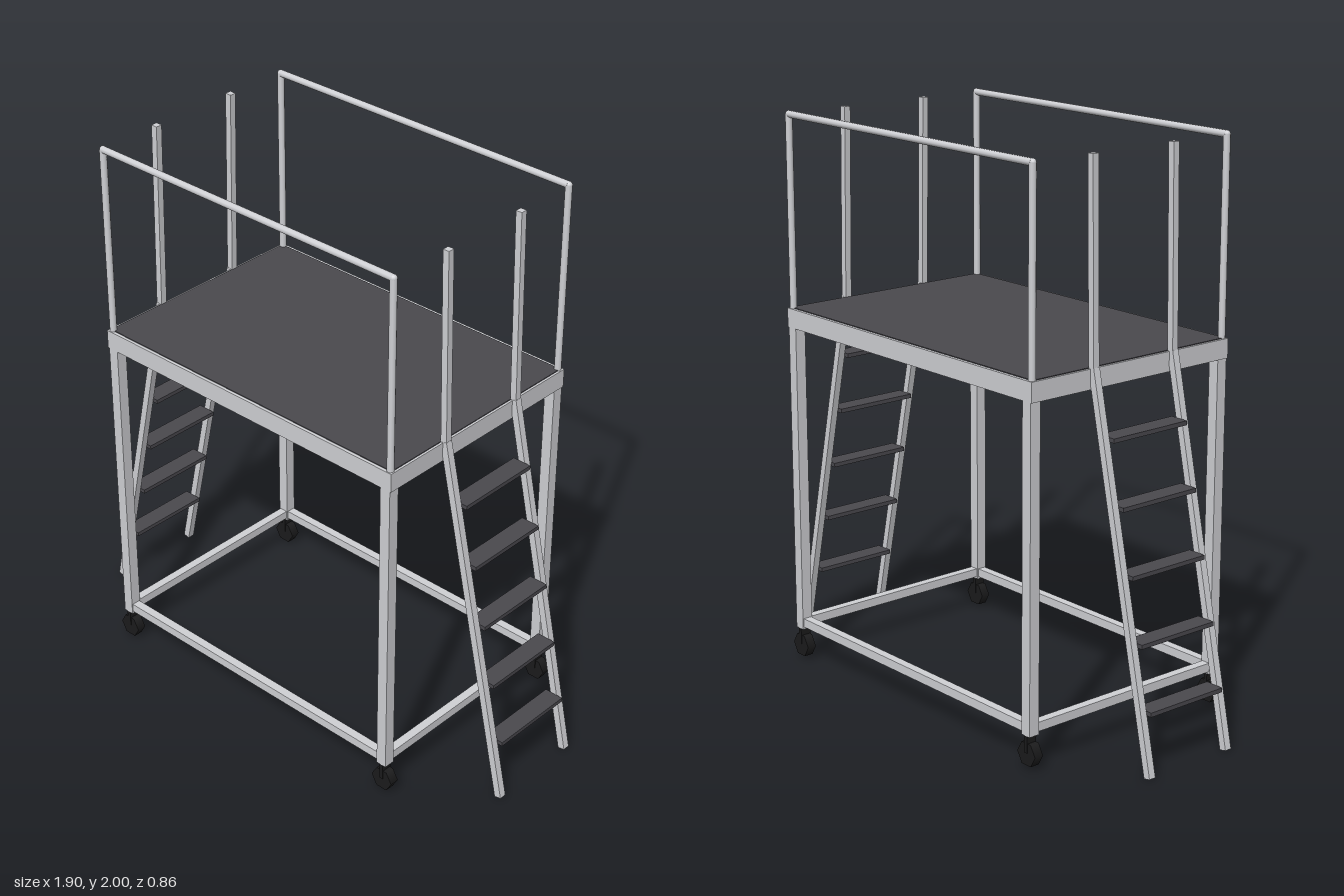
import * as THREE from 'three';

const mat = (name, color) => {
  const m = new THREE.MeshStandardMaterial({ color });
  m.name = name;
  return m;
};

export function createModel() {
  const metal = mat('light metal', 0xd0d1d5);
  const dark = mat('dark tread', 0x4a494e);
  const black = mat('black rubber', 0x1b1b1c);
  const model = new THREE.Group();
  model.name = 'rollingPlatform';

  const add = (name, geo, material, x = 0, y = 0, z = 0, parent = model) => {
    const m = new THREE.Mesh(geo, material);
    m.name = name;
    m.position.set(x, y, z);
    parent.add(m);
    return m;
  };
  const box = (name, w, h, d, material, x, y, z, parent) =>
    add(name, new THREE.BoxGeometry(w, h, d), material, x, y, z, parent);
  // Square bar between two points in the xy plane
  const bar = (name, x0, y0, x1, y1, z, t, parent) => {
    const m = box(name, t, Math.hypot(x1 - x0, y1 - y0), t, metal, (x0 + x1) / 2, (y0 + y1) / 2, z, parent);
    m.rotation.z = -Math.atan2(x1 - x0, y1 - y0);
  };

  // Deck: metal slab with a dark walking surface
  box('deckFrame', 1.3, 0.068, 0.862, metal, 0, 1.273, 0);
  box('deckSurface', 1.284, 0.004, 0.84, dark, 0, 1.308, 0);

  // Lower frame rails
  for (const s of [-1, 1]) {
    box('longBaseRail', 1.22, 0.032, 0.032, metal, 0, 0.144, s * 0.41);
    box('endBaseRail', 0.032, 0.032, 0.79, metal, s * 0.625, 0.144, 0);
  }

  // Legs and casters
  const wheel = new THREE.CylinderGeometry(0.044, 0.044, 0.034, 6);
  wheel.rotateX(Math.PI / 2).rotateZ(Math.PI / 6);
  for (const x of [-0.625, 0.625]) for (const z of [-0.41, 0.41]) {
    box('leg', 0.04, 1.122, 0.04, metal, x, 0.68, z);
    add('casterWheel', wheel, black, x, 0.054, z);
    box('casterFork', 0.014, 0.06, 0.04, black, x, 0.089, z);
  }

  // Handrails along both long sides
  const R = 0.0125;
  for (const z of [-0.416, 0.416]) {
    const rail = new THREE.Group();
    rail.name = 'handrail';
    model.add(rail);
    for (const x of [-0.634, 0.634]) {
      add('railPost', new THREE.CylinderGeometry(R, R, 0.69, 10), metal, x, 1.642, z, rail);
      add('railElbow', new THREE.SphereGeometry(R, 10, 8), metal, x, 1.987, z, rail);
    }
    const top = add('railTop', new THREE.CylinderGeometry(R, R, 1.268, 10), metal, 0, 1.987, z, rail);
    top.rotation.z = Math.PI / 2;
  }

  // A ladder at each end with grab rails bent upright
  for (const s of [-1, 1]) {
    const ladder = new THREE.Group();
    ladder.name = s > 0 ? 'leftLadder' : 'rightLadder';
    model.add(ladder);
    for (const z of [-0.173, 0.173]) {
      bar('stringer', s * 0.938, 0.004, s * 0.652, 1.31, z, 0.026, ladder);
      bar('grabRail', s * 0.652, 1.3, s * 0.638, 1.99, z, 0.024, ladder);
    }
    for (let i = 0; i < 5; i++) {
      const y = 0.215 + i * 0.2175;
      box('tread', 0.07, 0.015, 0.322, dark, s * (0.939 - 0.219 * y), y, 0, ladder);
    }
  }
  return model;
}
